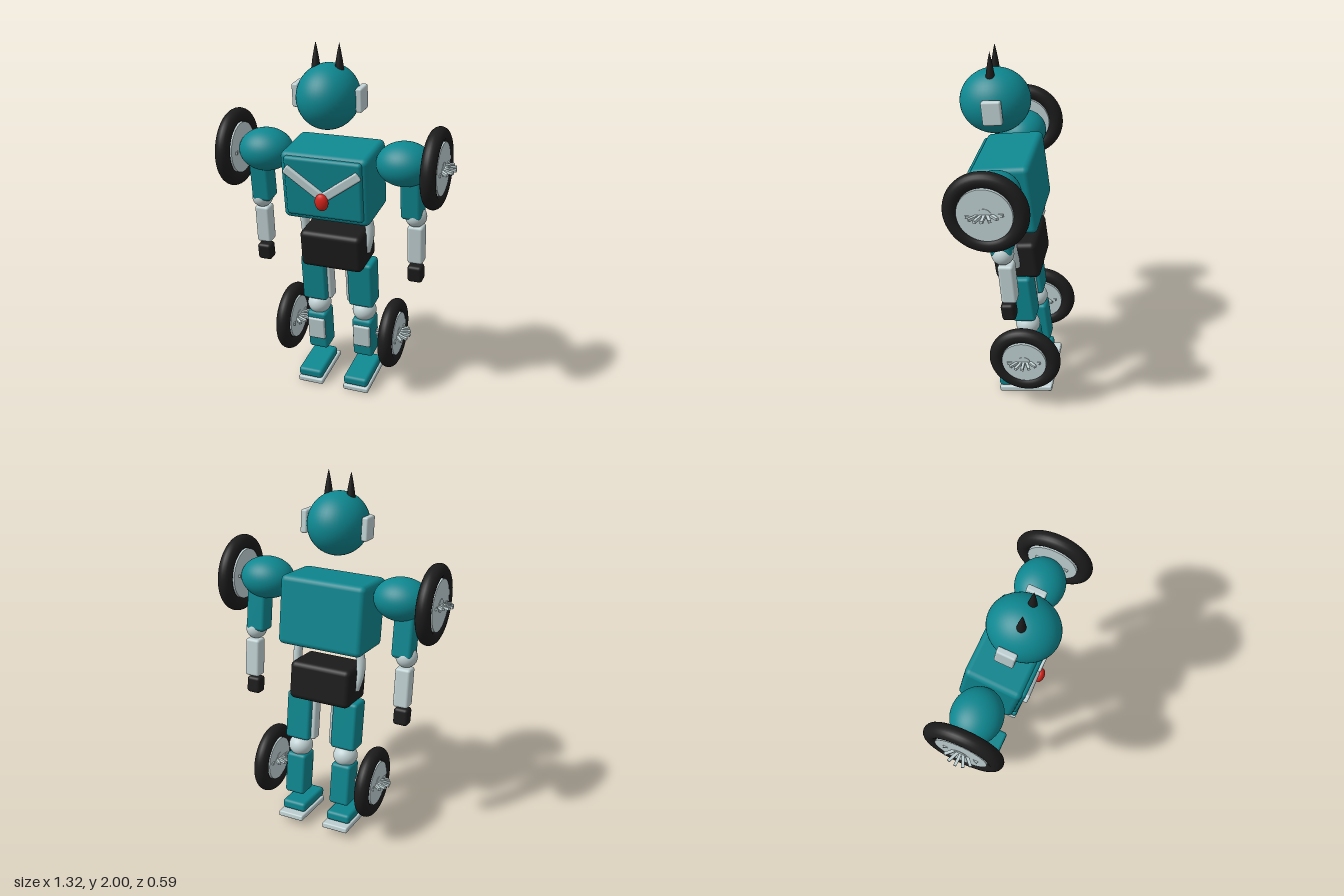
import * as THREE from 'three';
import { RoundedBoxGeometry } from 'three/addons/geometries/RoundedBoxGeometry.js';

const LEAN = 0.14; // whole figure leans forward

export function createModel() {
  const root = new THREE.Group();
  root.name = 'robot';

  const material = (name, color) => {
    const m = new THREE.MeshStandardMaterial({ color });
    m.name = name;
    return m;
  };
  const teal = material('teal', 0x0e8790);
  const silver = material('silver', 0xc2d3d5);
  const black = material('black', 0x1c1c1c);
  const red = material('red', 0xd8261c);

  const add = (name, geometry, mat, x, y, z, lean = LEAN, parent = root) => {
    const mesh = new THREE.Mesh(geometry, mat);
    mesh.name = name;
    mesh.position.set(x, y, z);
    mesh.rotation.x = lean;
    parent.add(mesh);
    return mesh;
  };
  const box = (w, h, d, r = 0.015) => new RoundedBoxGeometry(w, h, d, 3, r);
  const ball = (rx, ry, rz) => new THREE.SphereGeometry(1, 40, 28).scale(rx, ry, rz);

  // Head
  add('head', ball(0.163, 0.168, 0.183), teal, 0, 1.725, 0.114);

  // Chest with front panel, chevron and emblem
  const chest = new THREE.Group();
  chest.name = 'chest';
  chest.position.set(0, 1.265, 0.03);
  chest.rotation.x = LEAN;
  root.add(chest);
  add('chestBody', box(0.484, 0.38, 0.31, 0.03), teal, 0, 0, 0, 0, chest);
  add('chestPanel', box(0.43, 0.335, 0.04, 0.018), teal, 0, 0.008, 0.152, 0, chest);
  add('emblem', ball(0.037, 0.048, 0.025), red, 0, -0.05, 0.197, 0, chest);

  // Hips
  add('hips', box(0.355, 0.215, 0.245, 0.03), black, 0, 0.875, -0.021);

  // Wheel: tyre, disc and a flat fan of spokes around the centre
  const wheel = (name, x, y, z, radius) => {
    const g = new THREE.Group();
    g.name = name;
    g.position.set(x, y, z);
    g.rotation.x = LEAN;
    root.add(g);
    const tube = 0.04;
    add('tyre', new THREE.TorusGeometry(radius - tube, tube, 20, 56).rotateY(Math.PI / 2), black, 0, 0, 0, 0, g);
    add('disc', new THREE.CylinderGeometry(radius - 0.075, radius - 0.075, 0.07, 48).rotateZ(Math.PI / 2), silver, 0, 0, 0, 0, g);
    add('hub', new THREE.CylinderGeometry(0.037, 0.037, 0.074, 24).rotateZ(Math.PI / 2), silver, 0, 0, 0, 0, g);
    for (let i = 0; i < 16; i++) {
      const spoke = new THREE.BoxGeometry(0.1, 0.014, 0.015).translate(0.05, 0, 0).rotateY(i * Math.PI / 8);
      add('spoke', spoke, silver, 0, 0, 0, 0, g);
    }
  };

  const hornProfile = [[0.027, -0.03], [0.024, 0.02], [0.017, 0.07], [0.008, 0.12], [0, 0.155]]
    .map(([r, y]) => new THREE.Vector2(r, y));

  for (const s of [-1, 1]) {
    // Head details
    add('horn', new THREE.LatheGeometry(hornProfile, 20), black, s * 0.063, 1.845, 0.125, 0.02);
    add('ear', box(0.036, 0.125, 0.1, 0.01), silver, s * 0.172, 1.725, 0.097, 0.1);

    // Chevron bar
    const bar = add('chevronBar', box(0.245, 0.05, 0.024, 0.01), silver, s * 0.105, 0.043, 0.18, 0, chest);
    bar.rotation.z = s * 0.63;

    // Waist tube bulging outward from chest to hips
    const path = new THREE.CatmullRomCurve3([
      [0.15, 1.1, 0.005], [0.185, 1.03, -0.002], [0.187, 0.94, -0.012], [0.165, 0.85, -0.025],
    ].map(([x, y, z]) => new THREE.Vector3(s * x, y, z)));
    add('waistTube', new THREE.TubeGeometry(path, 24, 0.025, 14), silver, 0, 0, 0, 0);

    // Arm
    add('shoulder', ball(0.15, 0.115, 0.133), teal, s * 0.39, 1.39, 0.043);
    add('upperArm', box(0.112, 0.26, 0.11, 0.02), teal, s * 0.43, 1.22, 0.012);
    add('elbow', ball(0.058, 0.058, 0.058), silver, s * 0.446, 1.095, -0.006);
    add('forearm', box(0.085, 0.22, 0.08, 0.015), silver, s * 0.446, 0.932, -0.034, 0.1);
    add('hand', box(0.083, 0.096, 0.072, 0.018), black, s * 0.446, 0.76, -0.038);
    wheel('armWheel', s * 0.562, 1.387, 0.05, 0.213);

    // Leg
    add('thigh', box(0.145, 0.277, 0.127, 0.018), teal, s * 0.138, 0.65, -0.058);
    add('thighStrut', box(0.036, 0.25, 0.07, 0.015), silver, s * 0.06, 0.64, -0.06);
    add('knee', ball(0.068, 0.062, 0.068), silver, s * 0.138, 0.46, -0.086);
    add('lowerLeg', box(0.118, 0.245, 0.125, 0.018), teal, s * 0.138, 0.3, -0.108);
    add('shinPlate', box(0.1, 0.135, 0.024, 0.009), silver, s * 0.138, 0.311, -0.041);
    wheel('legWheel', s * 0.308, 0.337, -0.098, 0.198);

    // Foot
    add('foot', box(0.143, 0.055, 0.265, 0.018), teal, s * 0.138, 0.084, -0.063);
    add('sole', box(0.15, 0.032, 0.305, 0.008), silver, s * 0.138, 0.04, -0.087);
  }

  return root;
}
